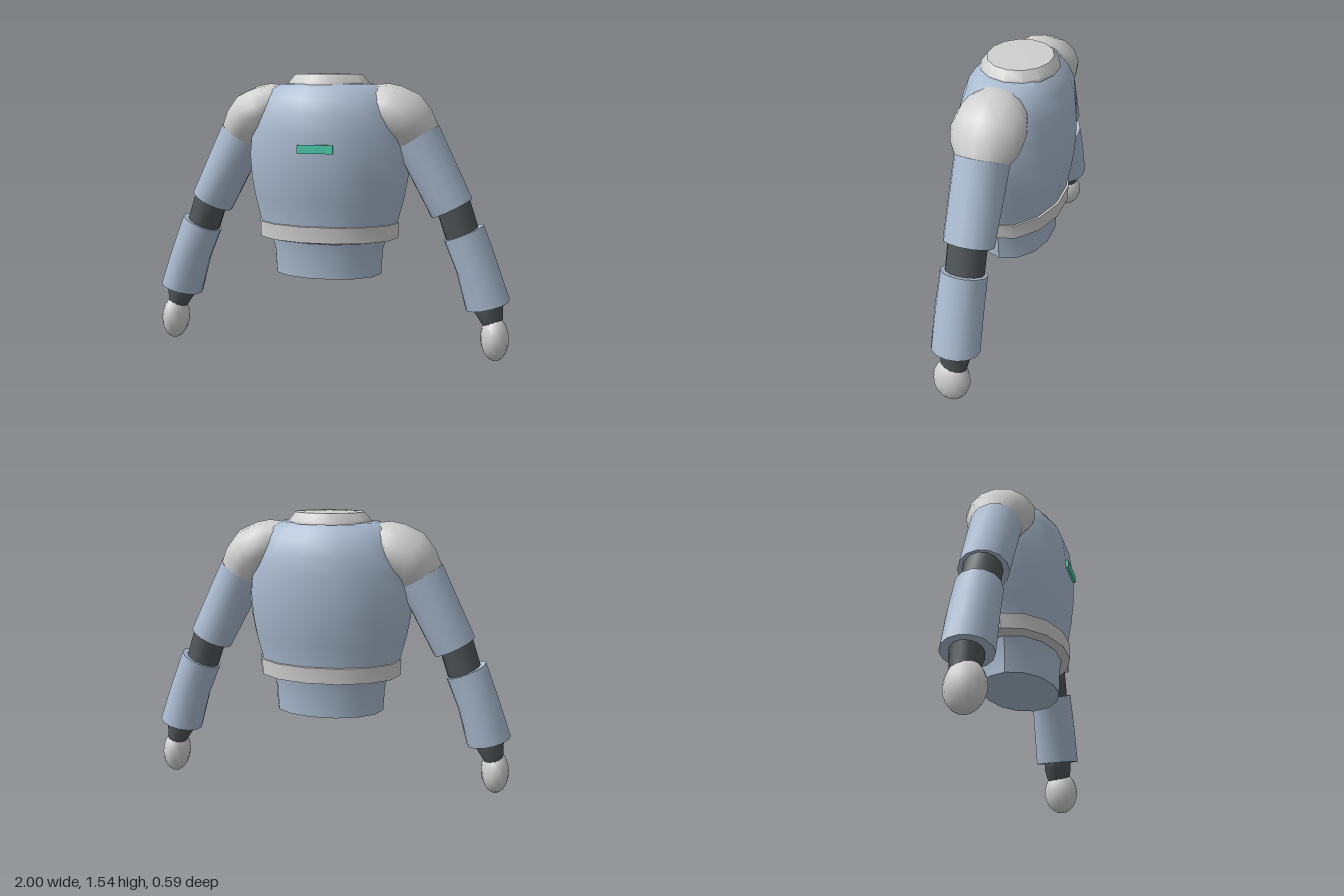
import * as THREE from 'three';
import { toCreasedNormals } from 'three/addons/utils/BufferGeometryUtils.js';

const mat = (name, color) => new THREE.MeshStandardMaterial({ name, color });

// Lathed body part with an oval plan; profile points are [radius, height]
function oval(name, profile, depth, material, z = -0.005, segments = 14) {
  const points = profile.map(([r, y]) => new THREE.Vector2(r, y));
  const geo = new THREE.LatheGeometry(points, segments, Math.PI / segments);
  geo.scale(1, 1, depth);
  const mesh = new THREE.Mesh(toCreasedNormals(geo, 0.62), material);
  mesh.name = name;
  mesh.position.z = z;
  return mesh;
}

// Capped limb loft; each section is [outerX, outerY, innerX, innerY, half depth]
function limb(name, sections, side, material, n = 14) {
  const pos = [], index = [];
  const tri = (a, b, c) => (side > 0 ? index.push(a, b, c) : index.push(a, c, b));
  const addRing = ([ox, oy, ix, iy, rz]) => {
    const start = pos.length / 3;
    for (let j = 0; j < n; j++) {
      const a = (j / n) * Math.PI * 2, c = Math.cos(a) / 2;
      pos.push(side * ((ox + ix) / 2 + (ox - ix) * c), (oy + iy) / 2 + (oy - iy) * c, rz * Math.sin(a) - 0.005);
    }
    return start;
  };
  const rings = sections.map(addRing);
  for (let i = 0; i < rings.length - 1; i++) {
    for (let j = 0; j < n; j++) {
      const k = (j + 1) % n, p = rings[i], q = rings[i + 1];
      tri(p + j, p + k, q + j);
      tri(p + k, q + k, q + j);
    }
  }
  // flat end caps with their own corners
  [sections[0], sections[sections.length - 1]].forEach((s, end) => {
    const r = addRing(s), centre = pos.length / 3;
    pos.push(side * (s[0] + s[2]) / 2, (s[1] + s[3]) / 2, -0.005);
    for (let j = 0; j < n; j++) {
      const k = (j + 1) % n;
      if (end) tri(centre, r + j, r + k);
      else tri(centre, r + k, r + j);
    }
  });
  const geo = new THREE.BufferGeometry();
  geo.setAttribute('position', new THREE.Float32BufferAttribute(pos, 3));
  geo.setIndex(index);
  geo.computeVertexNormals();
  const mesh = new THREE.Mesh(geo, material);
  mesh.name = name;
  return mesh;
}

export function createModel() {
  const blue = mat('blueShell', 0xaabbd0);
  const grey = mat('lightGrey', 0xcfcfcf);
  const dark = mat('darkJoint', 0x505557);
  const teal = mat('tealBadge', 0x4fd0b0);
  const model = new THREE.Group();
  model.name = 'robotUpperBody';

  // Torso, waist, belt and collar
  model.add(
    oval('torso', [[0, 0.69], [0.385, 0.69], [0.388, 0.74], [0.42, 0.86], [0.442, 0.98], [0.45, 1.1],
      [0.44, 1.22], [0.42, 1.32], [0.375, 1.4], [0.325, 1.45], [0.275, 1.48], [0, 1.495]], 0.66, blue),
    oval('waist', [[0, 0.445], [0.3, 0.445], [0.308, 0.58], [0.33, 0.66]], 0.68, blue),
    oval('belt', [[0.31, 0.635], [0.392, 0.65], [0.395, 0.735], [0.37, 0.737]], 0.68, grey),
    oval('collar', [[0.225, 1.475], [0.222, 1.49], [0.187, 1.532], [0, 1.54]], 0.9, grey, -0.015)
  );

  // Chest badge
  const badge = new THREE.Mesh(new THREE.BoxGeometry(0.19, 0.045, 0.02), teal);
  badge.name = 'chestBadge';
  badge.position.set(0, 1.147, 0.287);
  model.add(badge);

  // Arms
  for (const side of [1, -1]) {
    const arm = new THREE.Group();
    arm.name = side > 0 ? 'leftArm' : 'rightArm';
    arm.add(
      limb('shoulder', [[0.27, 1.478, 0.27, 1.27, 0.14], [0.33, 1.484, 0.3, 1.22, 0.17], [0.4, 1.47, 0.33, 1.19, 0.185],
        [0.5, 1.425, 0.36, 1.17, 0.185], [0.565, 1.34, 0.375, 1.15, 0.17], [0.6, 1.255, 0.38, 1.13, 0.138]], side, grey),
      limb('upperArm', [[0.602, 1.265, 0.372, 1.14, 0.14], [0.785, 0.88, 0.572, 0.77, 0.13]], side, blue),
      limb('elbow', [[0.765, 0.9, 0.595, 0.82, 0.1], [0.84, 0.67, 0.665, 0.61, 0.1]], side, dark),
      limb('forearm', [[0.85, 0.742, 0.64, 0.65, 0.12], [0.925, 0.545, 0.71, 0.48, 0.125],
        [0.998, 0.338, 0.765, 0.275, 0.127]], side, blue),
      limb('wrist', [[0.965, 0.34, 0.81, 0.3, 0.08], [0.963, 0.265, 0.81, 0.265, 0.08],
        [0.965, 0.2, 0.86, 0.19, 0.065]], side, dark)
    );
    // Egg-shaped hand
    const hand = new THREE.Mesh(new THREE.SphereGeometry(1, 14, 10), grey);
    hand.name = 'hand';
    hand.scale.set(0.076, 0.125, 0.1);
    hand.position.set(side * 0.923, 0.127, 0.005);
    hand.rotation.z = side * 0.06;
    arm.add(hand);
    model.add(arm);
  }
  return model;
}
